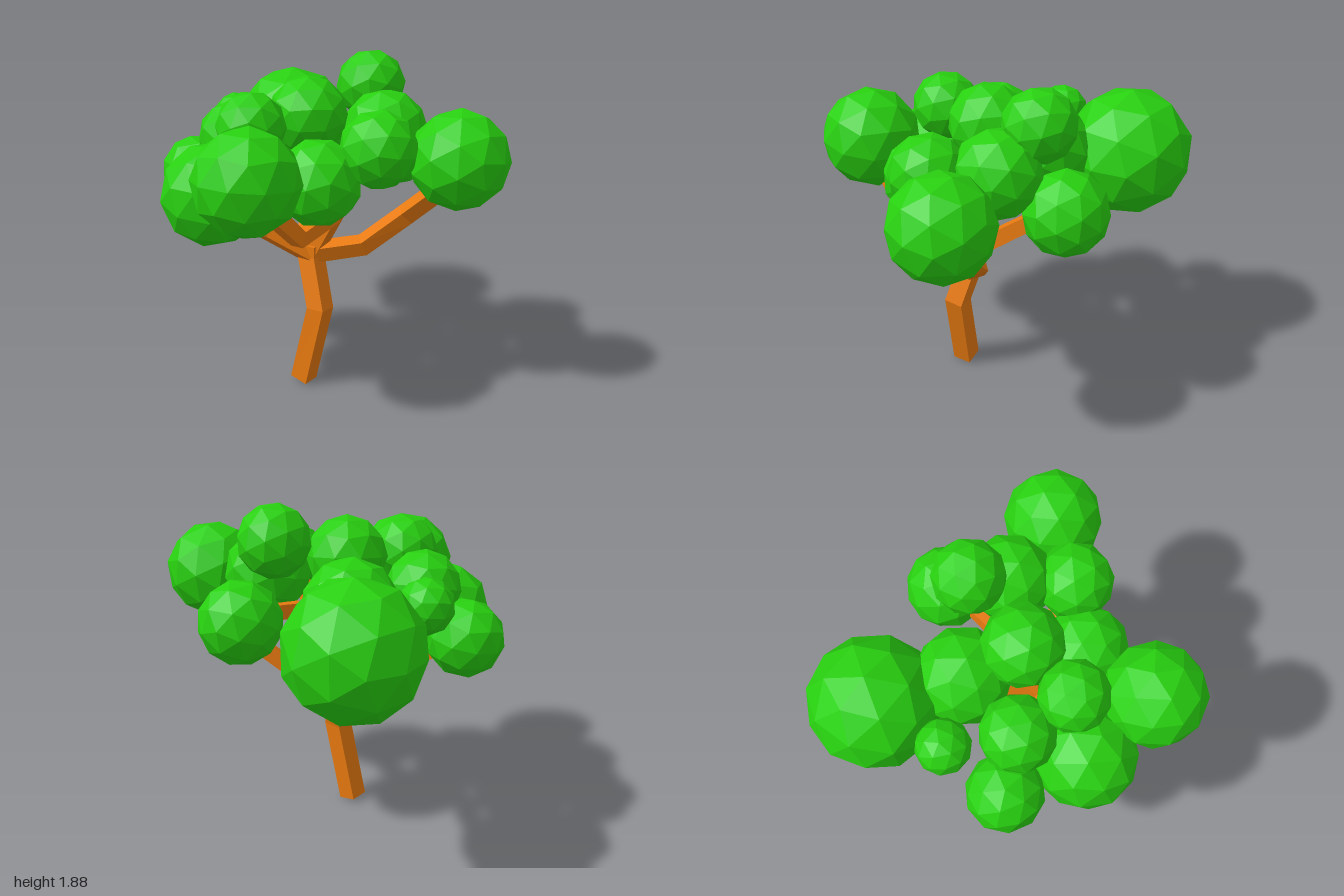
import * as THREE from 'three';

const V = (p) => new THREE.Vector3(...p);

// Square-section limb swept along a bent path, with closed ends
function limbGeometry(points, r0, r1) {
  const path = points.map(V), n = path.length;
  const pos = [], idx = [];
  let side = new THREE.Vector3(0.985, 0, -0.17);
  path.forEach((p, i) => {
    const a = path[Math.max(i - 1, 0)], b = path[Math.min(i + 1, n - 1)];
    const inDir = p.clone().sub(a).normalize(), outDir = b.clone().sub(p).normalize();
    const t = inDir.add(outDir).normalize();
    side = side.clone().addScaledVector(t, -side.dot(t)).normalize();
    const up = t.clone().cross(side);
    const r = THREE.MathUtils.lerp(r0, r1, i / (n - 1));
    for (let k = 0; k < 4; k++) {
      const ang = Math.PI / 4 + k * Math.PI / 2;
      const q = p.clone().addScaledVector(side, r * Math.cos(ang)).addScaledVector(up, r * Math.sin(ang));
      pos.push(q.x, q.y, q.z);
    }
    if (i > 0) {
      for (let k = 0; k < 4; k++) {
        const l = (i - 1) * 4, m = (k + 1) % 4;
        idx.push(l + k, l + m, l + 4 + m, l + k, l + 4 + m, l + 4 + k);
      }
    }
  });
  const e = (n - 1) * 4;
  idx.push(0, 2, 1, 0, 3, 2, e, e + 1, e + 2, e, e + 2, e + 3);
  const g = new THREE.BufferGeometry();
  g.setAttribute('position', new THREE.Float32BufferAttribute(pos, 3));
  g.setIndex(idx);
  const flat = g.toNonIndexed();
  flat.computeVertexNormals();
  return flat;
}

export function createModel() {
  const tree = new THREE.Group();
  tree.name = 'tree';
  const bark = new THREE.MeshStandardMaterial({ color: 0xe87a10, flatShading: true });
  const leaf = new THREE.MeshStandardMaterial({ color: 0x28d010, flatShading: true });

  // Bent trunk and its branches: name, start radius, end radius, path
  const limbs = [
    ['trunk', 0.077, 0.077, [[0.055, 0.012, 0.055], [0.157, 0.485, 0.025], [0.05, 0.76, -0.01], [0.05, 0.84, -0.01]]],
    ['rightBackBranch', 0.065, 0.06, [[0.06, 0.79, -0.01], [0.27, 0.84, -0.2], [0.43, 1.02, -0.37], [0.62, 1.2, -0.42]]],
    ['leftBackBranch', 0.065, 0.055, [[0.04, 0.79, 0], [-0.2, 0.95, -0.22], [-0.36, 1.0, -0.4], [-0.52, 1.13, -0.55]]],
    ['leftFrontBranch', 0.06, 0.05, [[-0.12, 0.92, 0.08], [-0.3, 1.0, 0.1], [-0.47, 1.1, 0.18]]],
    ['frontBranch', 0.065, 0.05, [[0.05, 0.78, 0], [-0.1, 0.93, 0.2], [-0.15, 1.0, 0.36]]],
    ['middleBranch', 0.065, 0.055, [[0.05, 0.79, -0.02], [0.19, 1.05, -0.05], [0.24, 1.25, -0.09], [0.4, 1.42, -0.08]]],
    ['rightFrontBranch', 0.06, 0.06, [[0.18, 1.04, -0.05], [0.27, 1.01, 0.3], [0.24, 1.17, 0.45]]],
    ['upperBranch', 0.065, 0.055, [[0.05, 0.8, -0.02], [0.08, 1.03, -0.06], [0.1, 1.25, -0.11], [0.02, 1.45, -0.07]]],
    ['backBranch', 0.06, 0.055, [[0.1, 1.2, -0.1], [0.06, 1.3, -0.32], [0.09, 1.32, -0.55]]],
  ];
  for (const [name, r0, r1, path] of limbs) {
    const mesh = new THREE.Mesh(limbGeometry(path, r0, r1), bark);
    mesh.name = name;
    tree.add(mesh);
  }

  // Faceted leaf clumps: x, y, z, radius
  const clumps = [
    [-0.65, 1.33, -0.53, 0.355],
    [0.735, 1.39, -0.415, 0.27],
    [0.1, 1.29, -0.66, 0.225],
    [0.07, 1.69, -0.455, 0.195],
    [-0.28, 1.38, -0.24, 0.26],
    [0.27, 1.47, -0.36, 0.235],
    [0.47, 1.455, -0.08, 0.21],
    [-0.02, 1.56, -0.05, 0.22],
    [-0.65, 1.445, -0.07, 0.145],
    [-0.605, 1.185, 0.27, 0.21],
    [-0.37, 1.42, 0.18, 0.205],
    [-0.08, 1.545, 0.31, 0.19],
    [0.26, 1.28, 0.15, 0.235],
    [-0.2, 1.185, 0.485, 0.285],
    [0.225, 1.37, 0.605, 0.28],
  ];
  const foliage = new THREE.Group();
  foliage.name = 'foliage';
  const ball = new THREE.IcosahedronGeometry(1, 1);
  clumps.forEach(([x, y, z, r], i) => {
    const mesh = new THREE.Mesh(ball, leaf);
    mesh.name = 'leafClump' + (i + 1);
    mesh.position.set(x, y, z);
    mesh.scale.setScalar(r);
    mesh.rotation.set(i * 0.9, i * 1.7, i * 0.5);
    foliage.add(mesh);
  });
  tree.add(foliage);
  return tree;
}
